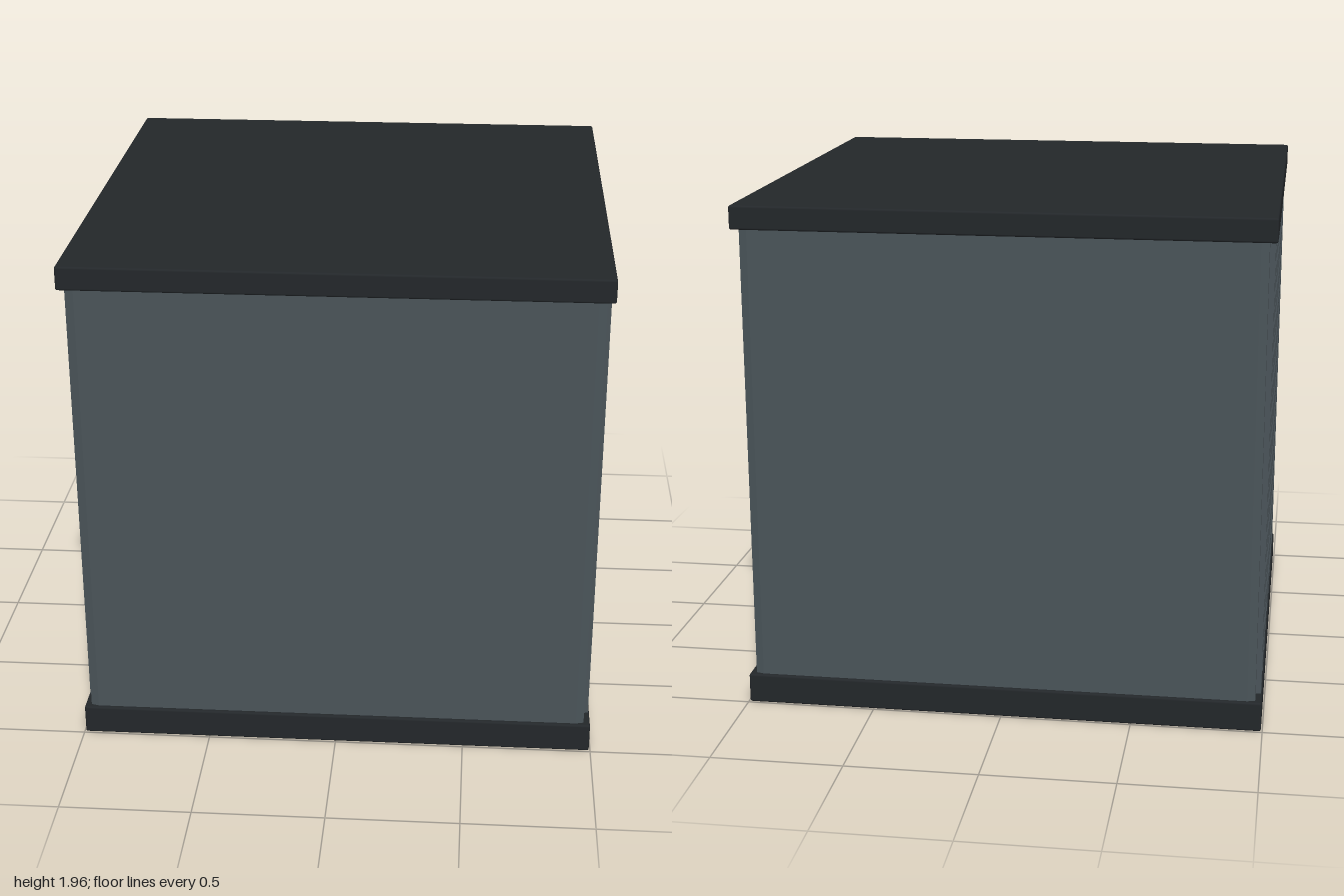
import * as THREE from 'three';
import { RoundedBoxGeometry } from 'three/addons/geometries/RoundedBoxGeometry.js';

const slabMaterial = new THREE.MeshStandardMaterial({ color: 0x23272a });
const wallMaterial = new THREE.MeshStandardMaterial({ color: 0x4a5459, flatShading: true });

// Softly bevelled square plate between two heights
function slab(name, width, y0, y1) {
  const mesh = new THREE.Mesh(new RoundedBoxGeometry(width, y1 - y0, width, 2, 0.008), slabMaterial);
  mesh.name = name;
  mesh.position.y = (y0 + y1) / 2;
  return mesh;
}

// Outline of one ribbed side, running from -z to +z at x = +0.97
function ribbedSide() {
  const wall = 0.97, crest = 0.99, pitch = 0.216, half = 0.033, slope = 0.008;
  const points = [[0.94, -0.98], [wall, -0.972]];
  for (let i = -4; i <= 4; i++) {
    const z = i * pitch;
    points.push([wall, z - half - slope], [crest, z - half], [crest, z + half], [wall, z + half + slope]);
  }
  points.push([wall, 0.972], [0.94, 0.98]);
  return points;
}

export function createModel() {
  const group = new THREE.Group();
  group.name = 'ribbedContainer';

  group.add(slab('base', 1.99, 0, 0.115));
  group.add(slab('lid', 2, 1.87, 1.96));

  // Walls: plain front and back, vertical ribs on both sides
  const side = ribbedSide();
  const outline = [...side, ...side.map(([x, z]) => [-x, -z])];
  const shape = new THREE.Shape(outline.map(([x, z]) => new THREE.Vector2(x, -z)));
  const geometry = new THREE.ExtrudeGeometry(shape, { depth: 1.77, bevelEnabled: false });
  geometry.rotateX(-Math.PI / 2);
  const walls = new THREE.Mesh(geometry, wallMaterial);
  walls.name = 'walls';
  walls.position.y = 0.108;
  group.add(walls);

  return group;
}
